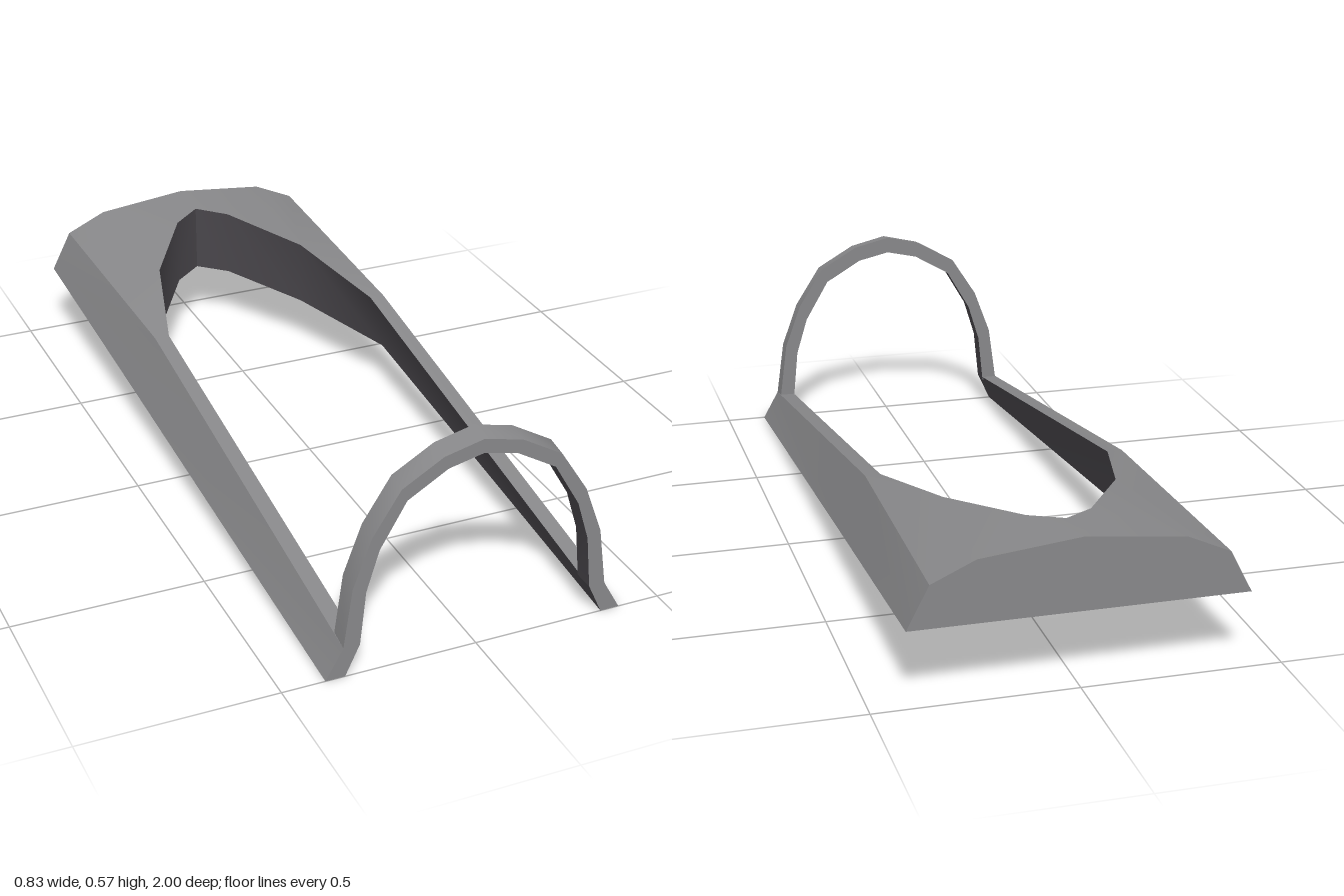
import * as THREE from 'three';
import { toCreasedNormals } from 'three/addons/utils/BufferGeometryUtils.js';

const grey = new THREE.MeshStandardMaterial({ color: 0x88888a });
grey.name = 'frameGrey';
const dark = new THREE.MeshStandardMaterial({ color: 0x4a474c });
dark.name = 'innerDark';

// Skins pairs of polylines [a, b] with triangles and mirrors them across x = 0
function skin(name, material, pairs, crease = 0.6) {
  const pos = [];
  const tri = (p, q, r) => {
    if (p === q || q === r || p === r) return;
    pos.push(...p, ...q, ...r);
    for (const v of [p, r, q]) pos.push(-v[0], v[1], v[2]);
  };
  for (const [a, b] of pairs) {
    for (let i = 0; i < a.length - 1; i++) {
      tri(a[i], b[i], b[i + 1]);
      tri(a[i], b[i + 1], a[i + 1]);
    }
  }
  const geo = new THREE.BufferGeometry();
  geo.setAttribute('position', new THREE.Float32BufferAttribute(pos, 3));
  const mesh = new THREE.Mesh(toCreasedNormals(geo, crease), material);
  mesh.name = name;
  return mesh;
}

// Height of the sloping flat underside
const base = (x, z) => [x, 0.0975 * (1 - z), z];

function createFrame() {
  const g = new THREE.Group();
  g.name = 'frame';
  // Polylines of the +x half, running from the front to the back
  const O = [base(0.39, 1), base(0.405, -0.27), base(0.415, -1)];
  const S = [[0.345, 0.08, 1], [0.345, 0.285, -0.27], [0.36, 0.303, -1]];
  const I = [[0.303, 0.08, 1], [0.305, 0.285, -0.27], [0.22, 0.335, -0.58], [0.08, 0.365, -0.81], [0, 0.373, -0.87]];
  const U = [base(0.34, 1), base(0.345, -0.27), base(0.22, -0.58), base(0.08, -0.81), base(0, -0.87)];
  const B1 = [0.25, 0.353, -1], B0 = [0, 0.38, -1], C = base(0, -1);

  g.add(skin('outerShell', grey, [
    [S, O],
    [[I[0], I[1], I[2], I[2], I[2], I[3], I[4]], [S[0], S[1], S[1], S[2], B1, B1, B0]],
  ]));
  g.add(skin('underside', grey, [[[O[0], O[1], O[2], O[2], C], U]]));
  g.add(skin('backFace', grey, [[[C, C, C, C], [B0, B1, S[2], O[2]]]]));
  g.add(skin('railFrontEnds', grey, [[[U[0], I[0]], [O[0], S[0]]]]));
  g.add(skin('openingWall', dark, [[U, I]], 0.8));
  return g;
}

function createArch() {
  const g = new THREE.Group();
  g.name = 'arch';
  const at = (pts, z, dy = 0) => pts.map(([x, y], i) => [x, y + (i ? dy : 0), z]);
  const outer = [[0.345, 0.08], [0.323, 0.235], [0.277, 0.36], [0.205, 0.472], [0.1, 0.533], [0, 0.557]];
  const inner = [[0.303, 0.08], [0.289, 0.22], [0.257, 0.325], [0.19, 0.44], [0.088, 0.5], [0, 0.52]];
  const F = at(outer, 1), K = at(outer, 0.945, 0.009);
  const N = at(inner, 1), M = at(inner, 0.945);
  g.add(skin('archBody', grey, [[N, F], [K, M], [F, K]], 0.5));
  g.add(skin('archInside', dark, [[M, N]], 0.5));
  return g;
}

export function createModel() {
  const model = new THREE.Group();
  model.name = 'canopyFrame';
  model.add(createFrame(), createArch());
  return model;
}
